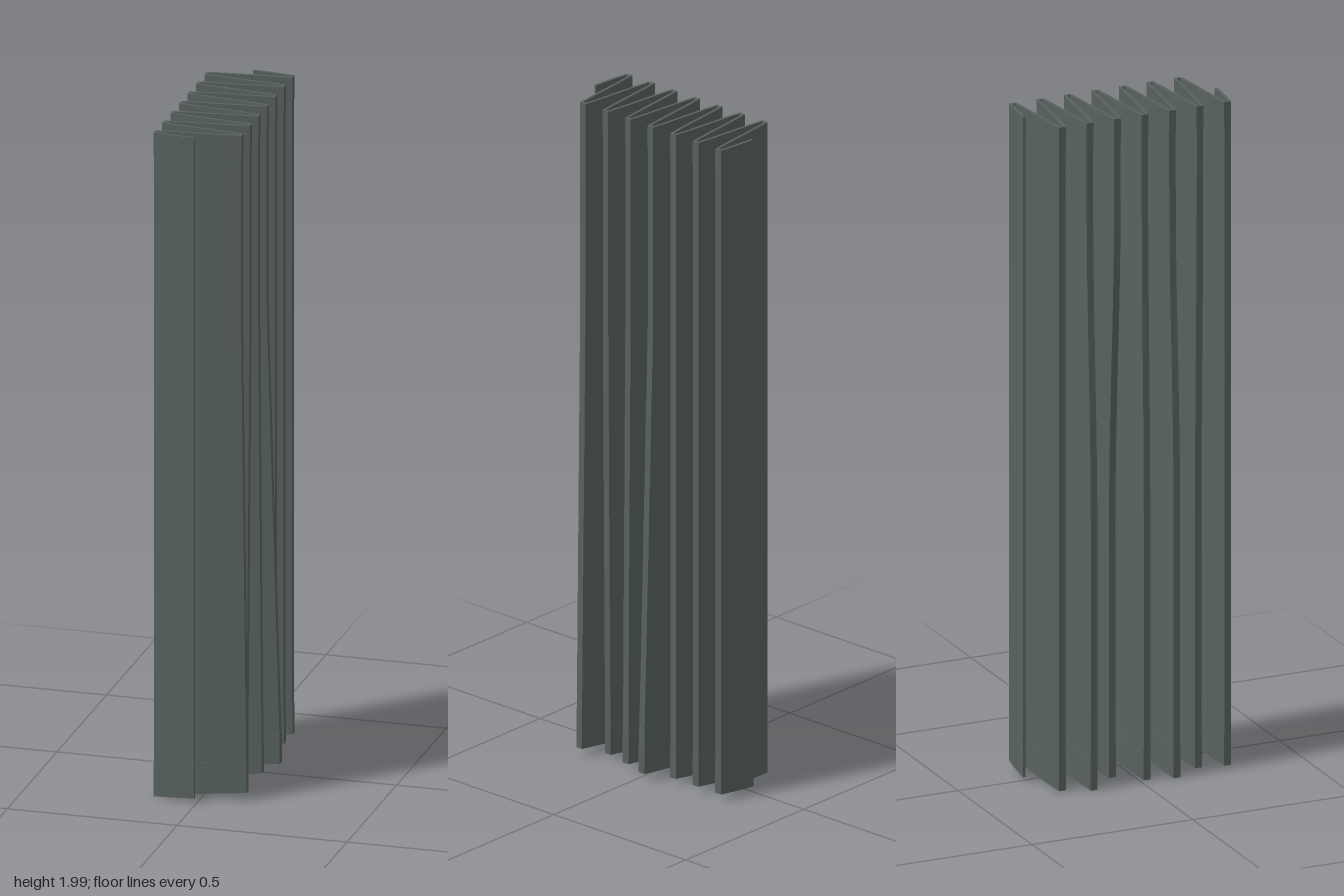
import * as THREE from 'three';
import { toCreasedNormals } from 'three/addons/utils/BufferGeometryUtils.js';

// How far each pleat leans outward (+) or inward (-) by the time it reaches the floor
const FLARE = [0, 0, 0, 0.028, 0, -0.035, 0.038, 0.014, 0.01, 0.03, -0.01, -0.012, 0.015, 0];
const PITCH = 0.0428, CENTRE = -0.008, AMPLITUDE = 0.119;
const STEPS = [-0.5, -0.33, -0.17, 0.17, 0.33];

// Centre line of the pleated cloth at height y, running from back to front
function pleatLine(y) {
  const line = [[CENTRE, -0.298]];
  FLARE.forEach((flare, i) => {
    const side = i % 2 ? -1 : 1;
    const drop = side > 0
      ? THREE.MathUtils.clamp((1.4 - y) / 1.3, 0, 1)
      : 1 - THREE.MathUtils.smoothstep(y, 0.8, 1.75);
    const reach = AMPLITUDE + flare * drop;
    for (const s of STEPS) {
      if (i === 0 && s === -0.5) continue;
      const wave = Math.cos(s * Math.PI) / Math.cos(0.17 * Math.PI);
      line.push([CENTRE + side * reach * wave, (i - 6.5 + s) * PITCH]);
    }
  });
  line.push([CENTRE, 0.298]);
  return line;
}

// Closed outline of the cloth: one face forward, the other face back
function outline(y, thickness) {
  const line = pleatLine(y).map((p) => new THREE.Vector2(...p));
  const right = [], left = [];
  line.forEach((p, j) => {
    const before = line[Math.max(j - 1, 0)], after = line[Math.min(j + 1, line.length - 1)];
    const a = (j ? p.clone().sub(before) : after.clone().sub(p)).normalize();
    const b = (j < line.length - 1 ? after.clone().sub(p) : a.clone()).normalize();
    const t = a.clone().add(b).normalize();
    const w = thickness / 2 / Math.max(t.dot(a), 0.6);
    right.push([p.x + t.y * w, p.y - t.x * w]);
    left.push([p.x - t.y * w, p.y + t.x * w]);
  });
  return [...right, ...left.reverse()];
}

// Solid band of cloth through the given heights
function clothBand(heights, thickness) {
  const positions = [], index = [];
  let n = 0;
  for (const y of heights) {
    const ring = outline(y, thickness);
    n = ring.length;
    for (const [x, z] of ring) {
      // the lower edge hangs slightly higher on the left
      const lift = Math.max(0, 1 - y / 0.3) * (0.02 + 0.08 * x);
      positions.push(x, y + lift, z);
    }
  }
  for (let r = 0; r < heights.length - 1; r++) {
    for (let j = 0; j < n; j++) {
      const a = r * n + j, b = r * n + (j + 1) % n;
      index.push(a, a + n, b, b, a + n, b + n);
    }
  }
  // Close the upper and lower edges
  const top = (heights.length - 1) * n;
  for (let j = 0; j < n / 2 - 1; j++) {
    const r0 = j, r1 = j + 1, l0 = n - 1 - j, l1 = n - 2 - j;
    index.push(top + l0, top + l1, top + r0, top + r0, top + l1, top + r1);
    index.push(l0, r0, l1, r0, r1, l1);
  }
  const geometry = new THREE.BufferGeometry();
  geometry.setAttribute('position', new THREE.Float32BufferAttribute(positions, 3));
  geometry.setIndex(index);
  return toCreasedNormals(geometry, 0.5);
}

export function createModel() {
  const group = new THREE.Group();
  group.name = 'curtain';
  const fabric = new THREE.MeshStandardMaterial({ color: 0x58625f });
  fabric.name = 'grey green fabric';

  const add = (name, heights, thickness) => {
    const mesh = new THREE.Mesh(clothBand(heights, thickness), fabric);
    mesh.name = name;
    group.add(mesh);
  };
  const bodyHeights = Array.from({ length: 15 }, (_, i) => 0.1 + (1.83 * i) / 14);
  add('pleatedCloth', bodyHeights, 0.0065);
  add('topHem', [1.93, 1.97, 2], 0.008);
  add('bottomHem', [0, 0.05, 0.1], 0.008);
  return group;
}
